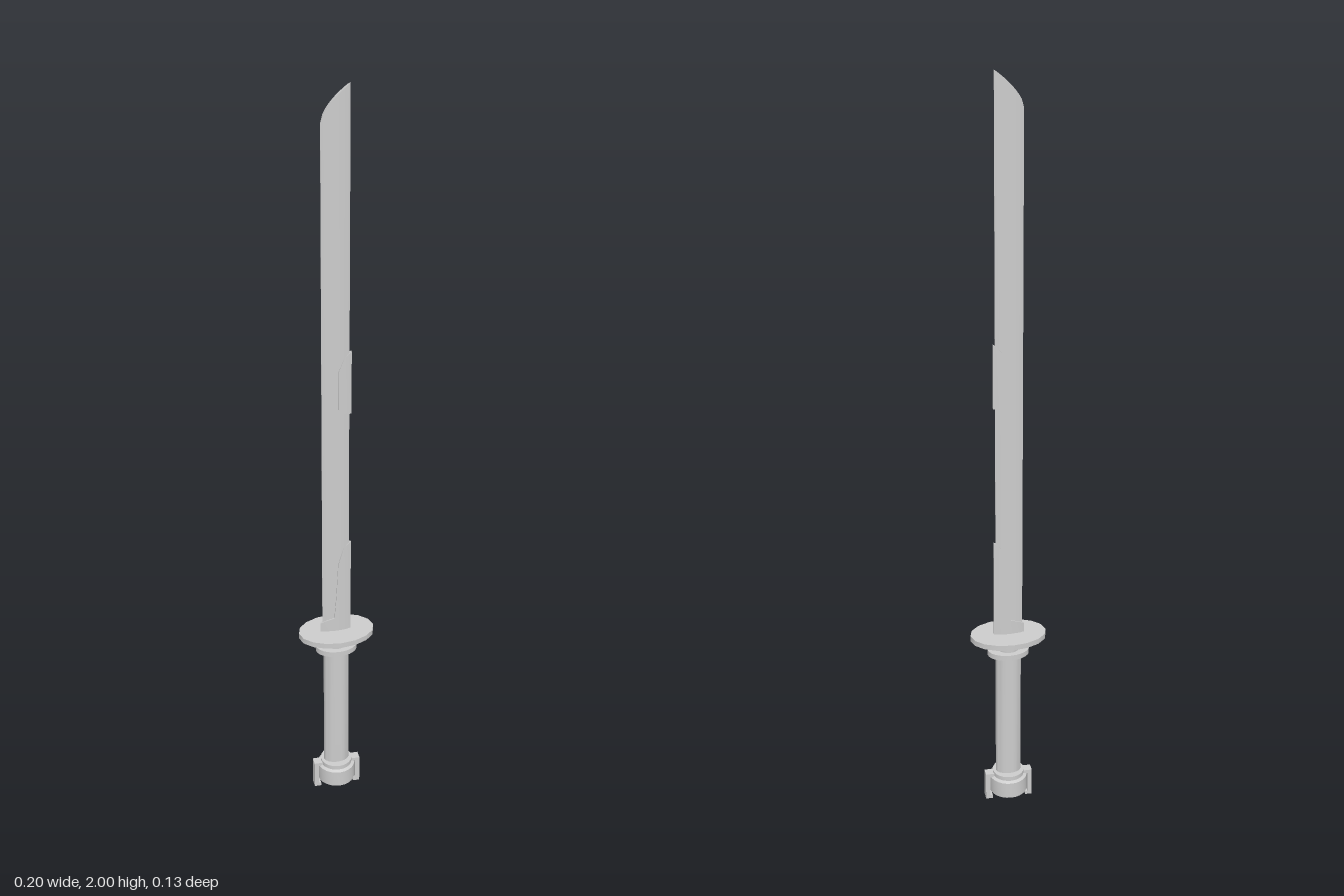
import * as THREE from 'three';
import { toCreasedNormals } from 'three/addons/utils/BufferGeometryUtils.js';

const grey = new THREE.MeshStandardMaterial({ color: 0xcccccc });

function add(group, name, geometry, crease = 0.6) {
  const mesh = new THREE.Mesh(toCreasedNormals(geometry, crease), grey);
  mesh.name = name;
  group.add(mesh);
  return mesh;
}

// Elliptical disc or post between two heights
function disc(rx, rz, y0, y1, sides = 24) {
  const g = new THREE.CylinderGeometry(1, 1, y1 - y0, sides);
  return g.scale(rx, 1, rz).translate(0, (y0 + y1) / 2, 0);
}

// Thin lens-shaped plate from columns [x, bottom, top, half thickness], in order of x
function plate(columns) {
  const pos = [], index = [];
  for (const [x, y0, y1, t] of columns) {
    pos.push(x, y0, t, x, y1, t, x, y1, -t, x, y0, -t);
  }
  const last = (columns.length - 1) * 4;
  for (let b = 0; b < last; b += 4) {
    for (let k = 0; k < 4; k++) {
      const a = b + k, c = b + (k + 1) % 4;
      index.push(a, a + 4, c, c, a + 4, c + 4);
    }
  }
  index.push(0, 1, 2, 0, 2, 3, last, last + 2, last + 1, last, last + 3, last + 2);
  const g = new THREE.BufferGeometry();
  g.setAttribute('position', new THREE.Float32BufferAttribute(pos, 3));
  g.setIndex(index);
  return g;
}

export function createModel() {
  const model = new THREE.Group();
  model.name = 'sword';

  // Blade: cutting edge at -x, curved tip rising to the spine at +x
  const blade = [];
  for (let i = 0; i <= 12; i++) {
    const u = i / 12, x = -0.037 + 0.07 * u;
    const top = 1.91 + 0.09 * Math.pow(u, 0.6);
    blade.push([x, 0.5, top, 0.0008 + 0.0045 * Math.sqrt(Math.max(0, 1 - (2 * u - 1) ** 2))]);
  }
  add(model, 'blade', plate(blade));

  // Sleeve at the blade root, climbing the spine with a wavy border
  add(model, 'lowerSpineSleeve', plate([
    [-0.042, 0.51, 0.54, 0.002], [-0.03, 0.51, 0.547, 0.006], [-0.006, 0.51, 0.555, 0.0085],
    [-0.001, 0.51, 0.62, 0.0085], [0.004, 0.51, 0.72, 0.0085], [0.018, 0.51, 0.768, 0.0075],
    [0.03, 0.51, 0.78, 0.0055], [0.038, 0.51, 0.785, 0.003],
  ]));
  add(model, 'upperSpineSleeve', plate([
    [0.005, 1.175, 1.28, 0.0075], [0.018, 1.165, 1.312, 0.007],
    [0.03, 1.16, 1.325, 0.0055], [0.038, 1.16, 1.33, 0.003],
  ]));

  // Guard, neck and ring
  add(model, 'guard', disc(0.1, 0.066, 0.5, 0.515, 16));
  add(model, 'neck', disc(0.028, 0.026, 0.46, 0.502));
  add(model, 'gripRing', disc(0.055, 0.04, 0.453, 0.468));

  // Grip
  add(model, 'grip', disc(0.034, 0.023, 0.06, 0.456));

  // Pommel cup with a recessed underside
  const profile = [[0, 0.03], [0.034, 0.03], [0.034, 0.022], [0.05, 0.022], [0.05, 0.068], [0.042, 0.072], [0.042, 0.084], [0, 0.084]]
    .map(([r, y]) => new THREE.Vector2(r, y));
  add(model, 'pommel', new THREE.LatheGeometry(profile, 24));
  add(model, 'pommelPlug', disc(0.028, 0.012, 0.012, 0.035));

  // Prongs clasping the pommel on both sides
  for (const side of [1, -1]) {
    const prong = new THREE.Group();
    prong.name = side > 0 ? 'leftProng' : 'rightProng';
    const bar = (name, w, h, x, y) =>
      add(prong, name, new THREE.BoxGeometry(w, h, 0.024).translate(side * x, y, 0));
    bar('prongBar', 0.012, 0.07, 0.057, 0.043);
    bar('prongTop', 0.026, 0.01, 0.05, 0.074);
    bar('prongFoot', 0.018, 0.01, 0.054, 0.005);
    model.add(prong);
  }
  return model;
}
